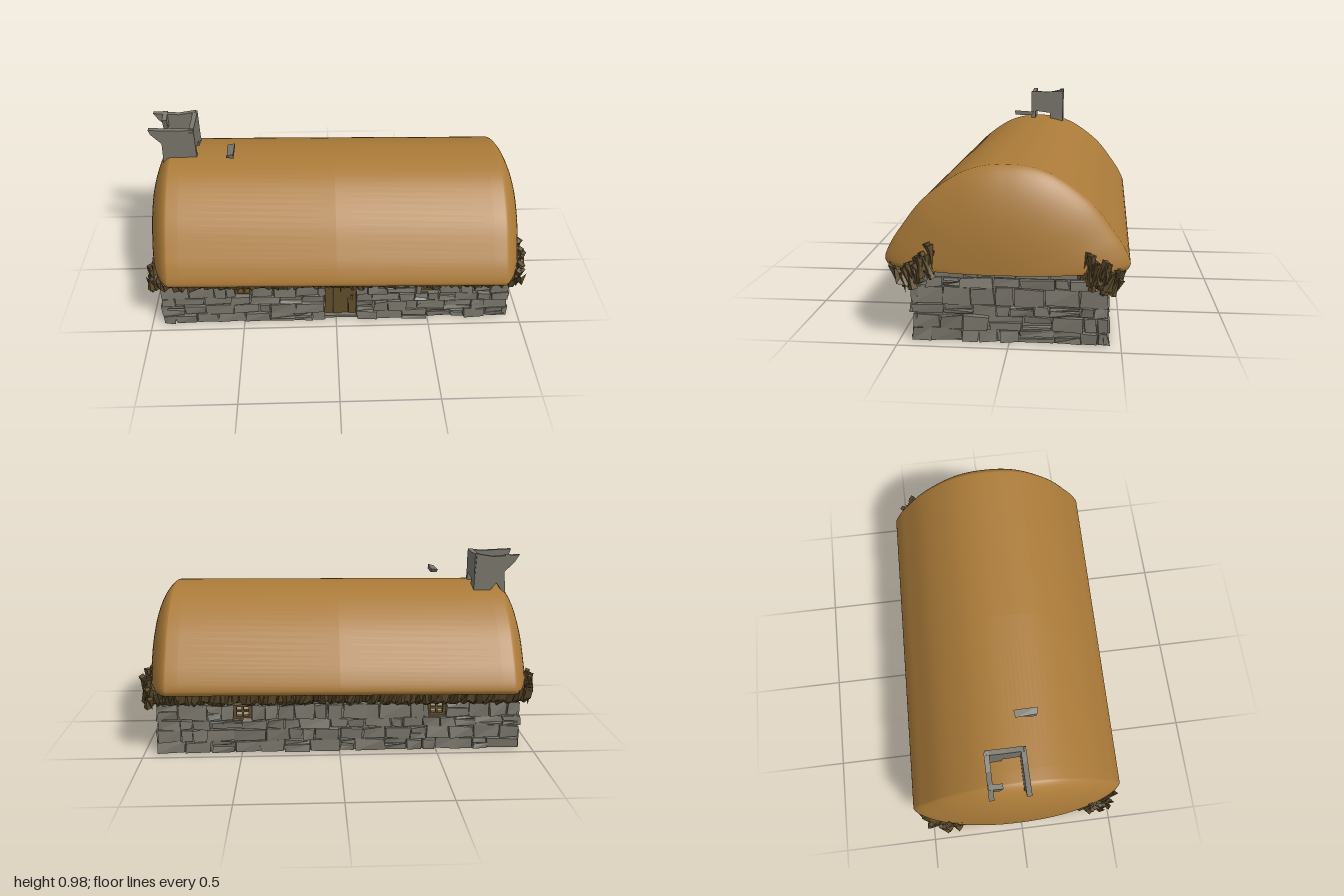
import * as THREE from 'three';
import { mergeGeometries } from 'three/addons/utils/BufferGeometryUtils.js';

const mat = (name, color, extra = {}) => {
  const m = new THREE.MeshStandardMaterial({ color, ...extra });
  m.name = name;
  return m;
};

export function createModel() {
  const model = new THREE.Group();
  const roofMat = mat('golden thatch', 0xab7b39, { side: THREE.DoubleSide });
  const stoneMat = mat('grey stone', 0x7a766c, { flatShading: true });
  const strawMat = mat('dark straw', 0x5c4a2b, { flatShading: true, side: THREE.DoubleSide });
  const woodMat = mat('old wood', 0x64502b, { flatShading: true });

  let seed = 7;
  const rnd = (a = 0, b = 1) => {
    seed = (seed * 16807) % 2147483647;
    return a + (b - a) * (seed / 2147483647);
  };
  const add = (name, geo, m) => {
    const mesh = new THREE.Mesh(geo, m);
    mesh.name = name;
    model.add(mesh);
    return mesh;
  };
  const box = (w, h, d, x, y, z) => new THREE.BoxGeometry(w, h, d).translate(x, y, z);

  // Surface through a grid of points given by f(i, j)
  const gridSurface = (ni, nj, f) => {
    const pos = [], idx = [];
    for (let i = 0; i <= ni; i++) for (let j = 0; j <= nj; j++) pos.push(...f(i, j));
    for (let i = 0; i < ni; i++) for (let j = 0; j < nj; j++) {
      const a = i * (nj + 1) + j, b = a + nj + 1;
      idx.push(a, b, a + 1, b, b + 1, a + 1);
    }
    const g = new THREE.BufferGeometry();
    g.setAttribute('position', new THREE.Float32BufferAttribute(pos, 3));
    g.setIndex(idx);
    g.computeVertexNormals();
    return g;
  };

  // Roof: arched section swept along x, shrinking into rounded ends, slightly skewed
  const half = [[0.545, 0], [0.555, 0.025], [0.525, 0.1], [0.475, 0.175], [0.39, 0.285],
    [0.29, 0.37], [0.19, 0.43], [0.09, 0.459], [0, 0.465]];
  const arch = new THREE.CatmullRomCurve3(
    [...half, ...half.slice(0, -1).reverse().map(([z, y]) => [-z, y])]
      .map(([z, y]) => new THREE.Vector3(0, y, z))).getPoints(64);
  const capSteps = 18;
  const rings = [];
  for (let k = 0; k <= capSteps; k++) {
    const s = Math.sin((k / capSteps) * Math.PI / 2);
    rings.push([0.86 + 0.14 * Math.pow(Math.max(0, 1 - Math.pow(s, 2.2)), 0.65), s]);
  }
  const stations = [...rings.map(([x, s]) => [-x, s]), [-0.8, 1], [0, 1], [0.8, 1], ...rings.reverse()];
  add('roof', gridSurface(stations.length - 1, 64, (i, j) => {
    const [x, s] = stations[i], p = arch[j];
    return [x, 0.34 + p.y * s, p.z * s + 0.022 * x];
  }), roofMat);

  // Rough stone: a block with every corner nudged
  const stone = (x0, x1, y0, y1, z0, z1) => {
    const g = new THREE.BoxGeometry(1, 1, 1);
    const p = g.attributes.position;
    const c = Array.from({ length: 8 }, () => [rnd(-0.009, 0.004), rnd(-0.009, 0.004), rnd(-0.011, 0.004)]);
    for (let i = 0; i < p.count; i++) {
      const sx = Math.sign(p.getX(i)), sy = Math.sign(p.getY(i)), sz = Math.sign(p.getZ(i));
      const o = c[(sx > 0 ? 1 : 0) + (sy > 0 ? 2 : 0) + (sz > 0 ? 4 : 0)];
      p.setXYZ(i, (sx > 0 ? x1 : x0) + sx * o[0],
        Math.max(0, (sy > 0 ? y1 : y0) + sy * o[1]), sz > 0 ? z1 + o[2] : z0);
    }
    return g.toNonIndexed();
  };

  // Walls: a slab with openings, faced with uneven courses of stones
  const wall = (name, halfLen, dist, angle, openings) => {
    const s = new THREE.Shape([[-halfLen, 0], [halfLen, 0], [halfLen, 0.36], [-halfLen, 0.36]]
      .map(p => new THREE.Vector2(...p)));
    for (const [x0, x1, y0, y1] of openings) {
      s.holes.push(new THREE.Path([[x0, y0], [x0, y1], [x1, y1], [x1, y0]].map(p => new THREE.Vector2(...p))));
    }
    const slab = new THREE.ExtrudeGeometry(s, { depth: 0.065, bevelEnabled: false }).translate(0, 0, dist - 0.065);
    const parts = [slab];
    const courses = [0, 0.06, 0.125, 0.175, 0.255, 0.3, 0.355];
    for (let r = 0; r < courses.length - 1; r++) {
      const y0 = courses[r], y1 = courses[r + 1];
      const gaps = openings.filter(o => o[2] < y1 - 0.008 && o[3] > y0 + 0.008);
      let x = -halfLen - 0.012;
      while (x < halfLen) {
        const inside = gaps.find(o => x >= o[0] - 0.001 && x < o[1] - 0.001);
        if (inside) { x = inside[1]; continue; }
        let end = x + rnd(0.06, 0.16);
        if (end > halfLen - 0.03) end = halfLen + 0.012;
        for (const o of gaps) if (x < o[0] && end > o[0] - 0.025) end = o[0];
        const out = dist + rnd(0.012, 0.026);
        if (rnd() < 0.3 && end - x > 0.07) {
          const m = (y0 + y1) / 2 + rnd(-0.01, 0.01);
          parts.push(stone(x, end, y0, m, dist - 0.01, out), stone(x, end, m, y1, dist - 0.01, out - 0.004));
        } else parts.push(stone(x, end, y0, y1, dist - 0.01, out));
        x = end;
      }
    }
    const g = mergeGeometries(parts).rotateY(angle);
    // Walls lean inward toward the top
    const p = g.attributes.position;
    for (let i = 0; i < p.count; i++) {
      const lean = (0.17 - p.getY(i)) * 0.07;
      p.setX(i, p.getX(i) * (1 + lean * 0.6));
      p.setZ(i, p.getZ(i) * (1 + lean));
    }
    g.computeVertexNormals();
    add(name, g, stoneMat);
  };
  const windows = [[-0.54, -0.45, 0.17, 0.25], [0.46, 0.55, 0.175, 0.255]];
  const doorway = [-0.06, 0.11, 0.015, 0.285];
  wall('frontWall', 0.915, 0.427, 0, [...windows, doorway]);
  wall('backWall', 0.915, 0.427, Math.PI, windows);
  wall('rightWall', 0.427, 0.915, Math.PI / 2, []);
  wall('leftWall', 0.427, 0.915, -Math.PI / 2, []);

  // Window frames with a cross of bars
  for (const side of [1, -1]) for (const [x0, x1, y0, y1] of windows) {
    const cx = (x0 + x1) / 2, cy = (y0 + y1) / 2, w = x1 - x0, h = y1 - y0, b = 0.014, z = 0.4;
    add('windowFrame', mergeGeometries([
      box(b, h, 0.03, x0 + b / 2, cy, z), box(b, h, 0.03, x1 - b / 2, cy, z),
      box(w, b, 0.03, cx, y0 + b / 2, z), box(w, b, 0.03, cx, y1 - b / 2, z),
      box(0.01, h, 0.015, cx, cy, z), box(w, 0.01, 0.015, cx, cy, z),
    ]).rotateY(side > 0 ? 0 : Math.PI), woodMat);
  }

  // Plank door, with a stone surround on the inner face
  const planks = [];
  for (let k = 0; k < 4; k++) planks.push(box(0.041, 0.27, 0.02, -0.039 + k * 0.0425, 0.15, 0.4 + (k % 2) * 0.004));
  add('door', mergeGeometries(planks), woodMat);
  add('doorHandle', box(0.012, 0.03, 0.012, 0.085, 0.14, 0.417), woodMat);
  add('doorSurround', mergeGeometries([
    box(0.045, 0.3, 0.04, -0.08, 0.15, 0.35), box(0.045, 0.3, 0.04, 0.13, 0.15, 0.35),
    box(0.255, 0.04, 0.04, 0.025, 0.3, 0.35), box(0.17, 0.27, 0.02, 0.025, 0.15, 0.38),
  ]), stoneMat);

  // Ragged straw under both long eaves
  const fringe = [[0.41, 0.36], [0.425, 0.285], [0.465, 0.265], [0.505, 0.29], [0.525, 0.35]];
  for (const side of [1, -1]) {
    const n = 130;
    add('eavesFringe', gridSurface(n, 4, (i, j) => {
      const x = -0.965 + 1.94 * (i / n);
      const [z, y] = fringe[j];
      const taper = Math.abs(x) > 0.93 ? 0.03 : 0;
      return [x + rnd(-0.008, 0.008), y + rnd(-0.014, 0.012),
        side * (z - taper + rnd(-0.012, 0.01)) + 0.015 * x];
    }), strawMat);
  }

  // Straw tufts curling up at the gable corners
  const tuft = (end, side, count, reach) => {
    const parts = [];
    for (let k = 0; k < count; k++) {
      const t = rnd();
      const len = rnd(0.07, 0.13);
      const g = new THREE.ConeGeometry(rnd(0.012, 0.022), len, 4);
      g.rotateX(side * (rnd(-0.2, 0.5) + Math.PI * (k % 2)));
      g.rotateZ(end * rnd(-0.15, 0.15));
      g.translate(end * (0.945 + 0.03 * Math.sin(t * Math.PI) + rnd(-0.01, 0.012)),
        0.295 + t * reach + rnd(-0.02, 0.02), side * (0.475 - t * 0.15 + rnd(-0.02, 0.02)));
      parts.push(g);
    }
    add('gableStraw', mergeGeometries(parts), strawMat);
  };
  tuft(1, 1, 42, 0.11);
  tuft(1, -1, 48, 0.08);
  tuft(-1, 1, 16, 0.03);
  tuft(-1, -1, 20, 0.07);

  // Broken chimney: ragged stone panels, open on the outer side
  const panel = (pts, depth = 0.025) => new THREE.ExtrudeGeometry(
    new THREE.Shape(pts.map(p => new THREE.Vector2(...p))), { depth, bevelEnabled: false });
  add('chimney', mergeGeometries([
    panel([[-0.9, 0.77], [-0.72, 0.77], [-0.725, 0.97], [-0.8, 0.965], [-0.955, 0.972], [-0.945, 0.945], [-0.895, 0.89]])
      .translate(0, 0, 0.002),
    panel([[-0.89, 0.75], [-0.84, 0.82], [-0.8, 0.77], [-0.72, 0.77], [-0.73, 0.975], [-0.82, 0.96],
      [-0.955, 0.97], [-0.93, 0.93], [-0.88, 0.88]]).translate(0, 0, -0.172),
    panel([[-0.17, 0.78], [-0.09, 0.79], [-0.09, 0.835], [-0.05, 0.84], [0.025, 0.85], [0.028, 0.955],
      [0.015, 0.972], [-0.07, 0.968], [-0.165, 0.974]]).rotateY(-Math.PI / 2).translate(-0.722, 0, 0),
    panel([[-0.17, 0.92], [-0.12, 0.89], [-0.1, 0.955], [-0.17, 0.972]]).rotateY(-Math.PI / 2).translate(-0.88, 0, 0),
  ]), stoneMat);

  // Loose slab above the ridge
  add('looseStone', stone(-0.06, 0.05, -0.04, 0.04, -0.012, 0.013)
    .rotateX(-Math.PI / 2).rotateY(Math.PI / 2).translate(-0.52, 0.858, 0.05), stoneMat);

  return model;
}
